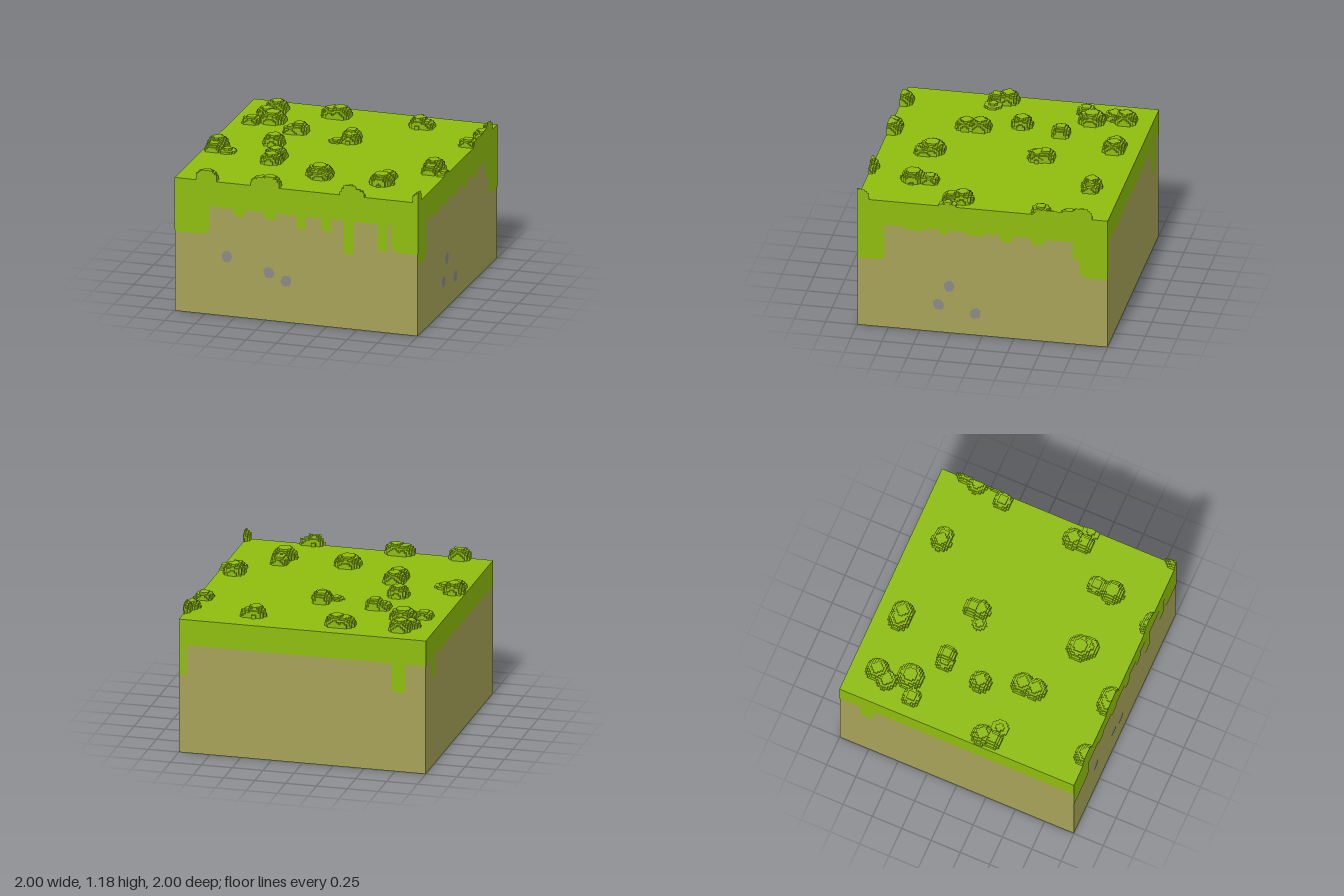
import * as THREE from 'three';
import { mergeGeometries } from 'three/addons/utils/BufferGeometryUtils.js';

const mat = (name, color) => {
  const m = new THREE.MeshStandardMaterial({ color });
  m.name = name;
  return m;
};

const TOP = 1.1, BAND = 0.89, CELL = 0.017, LAYERS = 6, TILE = 1.78;

// Grass drips per side: [start, end, lowest y], u runs to the right seen from outside
const sides = [
  { name: 'front', turn: 0,
    drips: [[-1, -0.71, 0.66], [-0.52, -0.42, 0.83], [-0.27, -0.165, 0.83], [0, 0.08, 0.78],
      [0.21, 0.295, 0.78], [0.385, 0.475, 0.61], [0.665, 0.755, 0.67], [0.78, 1, 0.67]],
    stones: [[-0.57, 0.49], [-0.225, 0.395], [-0.085, 0.34]] },
  { name: 'right', turn: Math.PI / 2,
    drips: [[-1, -0.78, 0.585], [-0.62, -0.46, 0.865], [-0.35, -0.27, 0.85], [-0.13, 0.01, 0.865],
      [0.135, 0.24, 0.83], [0.385, 0.5, 0.83], [0.72, 0.785, 0.73], [0.775, 1, 0.585]],
    stones: [[-0.265, 0.405], [-0.35, 0.24], [-0.055, 0.19]] },
  { name: 'back', turn: Math.PI, drips: [[-1, -0.94, 0.64], [0.72, 0.84, 0.65]], stones: [] },
  { name: 'left', turn: -Math.PI / 2, drips: [[-0.82, -0.71, 0.72]], stones: [] },
];

// Moss bumps: [x, z, radius, height]
const bumps = [
  [-0.74, -0.79, 0.09, 0.085], [-0.79, -0.69, 0.08, 0.055], [-0.69, -0.53, 0.105, 0.085],
  [-0.84, -0.455, 0.075, 0.055], [-0.225, -0.8, 0.09, 0.085], [-0.29, -0.8, 0.085, 0.075],
  [0.44, -0.76, 0.08, 0.085], [0.49, -0.76, 0.075, 0.06], [-0.41, -0.34, 0.075, 0.085],
  [-0.465, -0.33, 0.075, 0.055], [0.03, -0.31, 0.075, 0.085], [0.04, -0.25, 0.08, 0.07],
  [-0.065, -0.215, 0.06, 0.025], [-0.51, -0.01, 0.085, 0.085], [-0.91, 0.18, 0.085, 0.085],
  [-0.91, 0.27, 0.075, 0.065], [-0.8, 0.28, 0.065, 0.035], [-0.395, 0.3, 0.09, 0.085],
  [-0.395, 0.41, 0.085, 0.075], [0.06, 0.59, 0.105, 0.085], [0.09, 0.64, 0.09, 0.06],
  [0.59, 0.5, 0.075, 0.06], [0.585, 0.635, 0.095, 0.085],
];

function dripShape([a, b, y]) {
  const r = Math.min(0.075, (b - a) / 2, BAND - y);
  const ra = a === -1 ? 0.015 : r, rb = b === 1 ? 0.015 : r;
  const s = new THREE.Shape();
  s.moveTo(a, BAND);
  s.lineTo(a, y + ra);
  s.quadraticCurveTo(a, y, a + ra, y);
  s.lineTo(b - rb, y);
  s.quadraticCurveTo(b, y, b, y + rb);
  s.lineTo(b, BAND);
  return s;
}

function bandShape() {
  return new THREE.Shape([[-1, BAND], [1, BAND], [1, TOP], [-1, TOP]].map(p => new THREE.Vector2(...p)));
}

// Slightly irregular pebble outline
function stoneShape([u, y], i) {
  const radii = [0.042, 0.046, 0.049, 0.043, 0.046, 0.041, 0.048, 0.045, 0.042];
  return new THREE.Shape(radii.map((r, k) => {
    const a = (k / radii.length) * Math.PI * 2 + i * 1.3;
    return new THREE.Vector2(u + Math.cos(a) * r, y + Math.sin(a) * r * 1.08);
  }));
}

// Stair-stepped circle, clipped to the block
function steppedDisc(cx, cz, r) {
  const quarter = [];
  const rows = Math.round(r / CELL);
  for (let j = 0; j < rows; j++) {
    const w = Math.round(Math.sqrt(Math.max(0, r * r - ((j + 0.5) * CELL) ** 2)) / CELL) * CELL;
    quarter.push([w, j * CELL], [w, (j + 1) * CELL]);
  }
  const pts = [];
  for (let q = 0; q < 4; q++) {
    for (const [x, y] of quarter) {
      const [px, py] = [[x, y], [-y, x], [-x, -y], [y, -x]][q];
      const p = new THREE.Vector2(
        THREE.MathUtils.clamp(cx + px, -1, 1), THREE.MathUtils.clamp(-cz + py, -1, 1));
      if (!pts.length || pts[pts.length - 1].distanceTo(p) > 1e-5) pts.push(p);
    }
  }
  if (pts[0].distanceTo(pts[pts.length - 1]) < 1e-5) pts.pop();
  return pts;
}

// Stack of discs that shrink like a dome
function bumpLayers(x, z, r, h) {
  const out = [];
  const n = Math.max(2, Math.round((LAYERS * h) / 0.085));
  for (let i = 0; i < n; i++) {
    const t = i / (n - 1);
    const pts = steppedDisc(x, z, r * Math.sqrt(1 - 0.7 * t * t));
    if (pts.length < 4 || Math.abs(THREE.ShapeUtils.area(pts)) < 1e-4) continue;
    const g = new THREE.ExtrudeGeometry(new THREE.Shape(pts), { depth: h / n, bevelEnabled: false });
    g.rotateX(-Math.PI / 2);
    g.translate(0, TOP + (h * i) / n, 0);
    out.push(g);
  }
  return out;
}

export function createModel() {
  const grass = mat('grass green', 0x8fbd0e);
  const dirt = mat('earth brown', 0xa6a258);
  const stone = mat('pebble grey', 0x8a8985);

  const model = new THREE.Group();
  model.name = 'grassBlock';
  const add = (parent, name, geo, material) => {
    const m = new THREE.Mesh(geo, material);
    m.name = name;
    parent.add(m);
    return m;
  };

  // Earth body, a hair inside the painted sides
  add(model, 'earth', new THREE.BoxGeometry(1.996, TOP - 0.01, 1.996), dirt).position.y = (TOP - 0.01) / 2;

  // Grass top
  const top = add(model, 'grassTop', new THREE.PlaneGeometry(2, 2), grass);
  top.rotation.x = -Math.PI / 2;
  top.position.y = TOP;

  // Grass edge with drips, and pebbles, on each side
  for (const s of sides) {
    const side = new THREE.Group();
    side.name = s.name + 'Side';
    side.rotation.y = s.turn;
    const edge = new THREE.ShapeGeometry([bandShape(), ...s.drips.map(dripShape)], 6);
    add(side, 'grassDrips', edge, grass).position.z = 1;
    if (s.stones.length) {
      add(side, 'pebbles', new THREE.ShapeGeometry(s.stones.map(stoneShape)), stone).position.z = 1;
    }
    model.add(side);
  }

  // Moss bumps, repeated across the far edges so the pattern tiles
  const layers = [];
  for (const [x, z, r, h] of bumps) {
    for (const dx of [0, TILE]) {
      for (const dz of [0, TILE]) {
        if (x + dx - r < 1 && z + dz - r < 1) layers.push(...bumpLayers(x + dx, z + dz, r, h));
      }
    }
  }
  add(model, 'mossBumps', mergeGeometries(layers), grass);
  return model;
}
